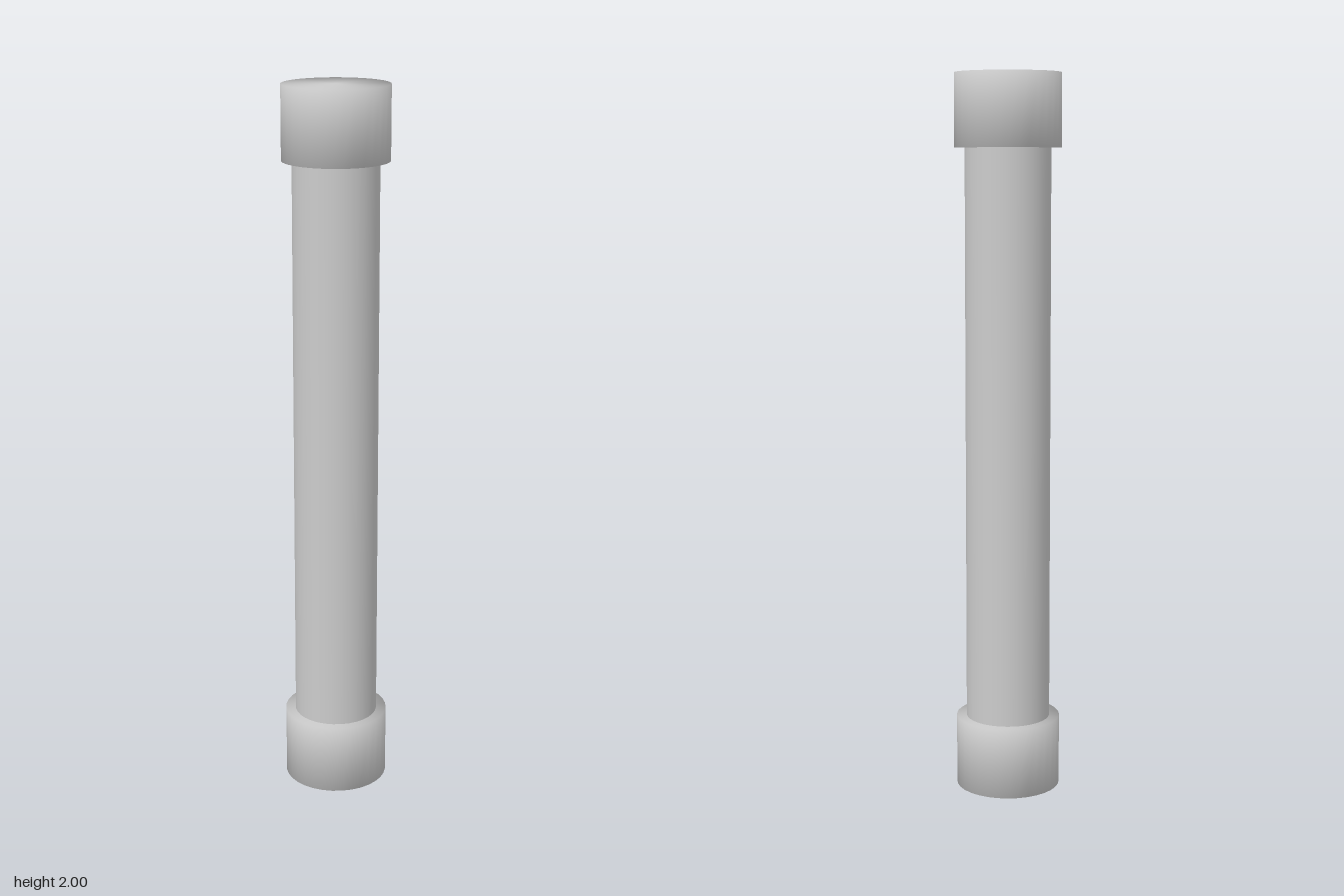
import * as THREE from 'three';
import { mergeVertices } from 'three/addons/utils/BufferGeometryUtils.js';

const SIDES = 32;
const CAP_RADIUS = 0.146;
const CAP_HEIGHT = 0.2;
const SHAFT_RADIUS = 0.118;

// Cylinder whose rim normals are shared by the wall and the end discs
function softCylinder(radius, height) {
  const geometry = new THREE.CylinderGeometry(radius, radius, height, SIDES);
  geometry.deleteAttribute('normal');
  geometry.deleteAttribute('uv');
  const merged = mergeVertices(geometry, 1e-4);
  merged.computeVertexNormals();
  return merged;
}

export function createModel() {
  const group = new THREE.Group();
  group.name = 'cappedRod';
  const material = new THREE.MeshStandardMaterial({ color: 0xcccccc });

  const add = (name, geometry, y) => {
    const mesh = new THREE.Mesh(geometry, material);
    mesh.name = name;
    mesh.position.y = y;
    group.add(mesh);
  };

  // Slim shaft between the two end caps
  add('shaft', new THREE.CylinderGeometry(SHAFT_RADIUS, SHAFT_RADIUS, 2 - 2 * CAP_HEIGHT, SIDES), 1);

  // Matching wider caps at both ends
  const cap = softCylinder(CAP_RADIUS, CAP_HEIGHT);
  add('bottomCap', cap, CAP_HEIGHT / 2);
  add('topCap', cap, 2 - CAP_HEIGHT / 2);

  return group;
}
